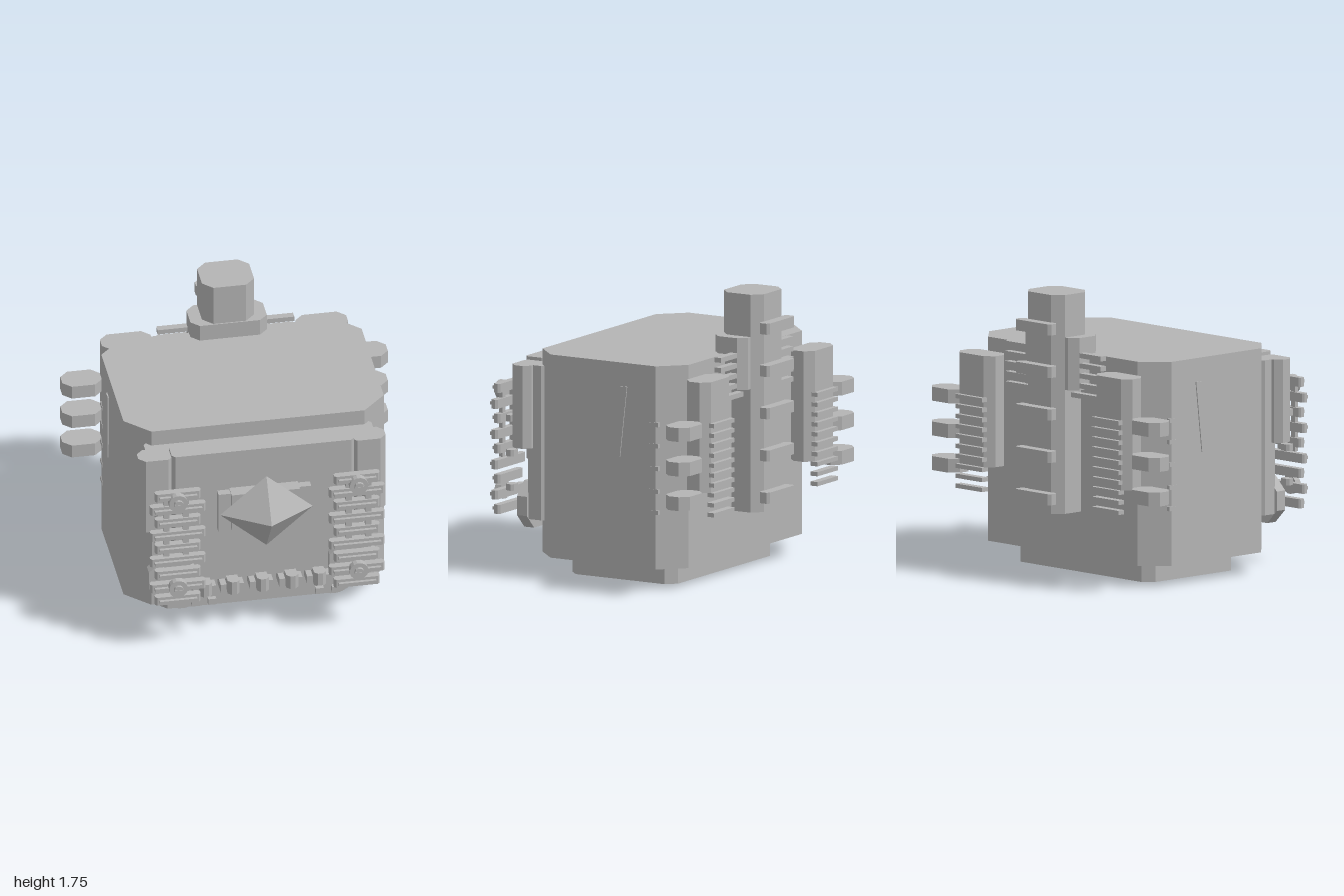
import * as THREE from 'three';

const grey = new THREE.MeshStandardMaterial({ color: 0xb4b4b4, flatShading: true });
grey.name = 'plain grey';

export function createModel() {
  const model = new THREE.Group();

  const add = (name, geometry) => {
    const mesh = new THREE.Mesh(geometry, grey);
    mesh.name = name;
    model.add(mesh);
    return mesh;
  };

  // Box given by its limits
  const box = (name, x0, x1, y0, y1, z0, z1) => {
    const mesh = add(name, new THREE.BoxGeometry(x1 - x0, y1 - y0, z1 - z0));
    mesh.position.set((x0 + x1) / 2, (y0 + y1) / 2, (z0 + z1) / 2);
    return mesh;
  };

  // Upright prism whose plan has four cut corners
  const prism = (name, x0, x1, y0, y1, z0, z1, c) => {
    const plan = [
      [x0 + c, z1], [x1 - c, z1], [x1, z1 - c], [x1, z0 + c],
      [x1 - c, z0], [x0 + c, z0], [x0, z0 + c], [x0, z1 - c],
    ].map(([x, z]) => new THREE.Vector2(x, -z));
    const g = new THREE.ExtrudeGeometry(new THREE.Shape(plan), { depth: y1 - y0, bevelEnabled: false });
    g.rotateX(-Math.PI / 2).translate(0, y0, 0);
    return add(name, g);
  };

  // Disc facing the front
  const disc = (name, x, y, z0, z1, r, sides) => {
    const g = new THREE.CylinderGeometry(r, r, z1 - z0, sides);
    g.rotateY(Math.PI / sides).rotateX(Math.PI / 2);
    const mesh = add(name, g);
    mesh.position.set(x, y, (z0 + z1) / 2);
    return mesh;
  };

  // Mirrors x limits for the left (+1) and right (-1) sides
  const span = (s, a, b) => (s > 0 ? [a, b] : [-b, -a]);

  // Main body and plinth
  prism('body', -0.8, 0.8, 0.13, 1.38, -0.62, 0.415, 0.145);
  prism('base', -0.59, 0.59, 0, 0.13, -0.47, 0.28, 0.06);

  // Layered front panels
  prism('lowerFrontPanel', -0.7, 0.7, 0.33, 1.28, 0.37, 0.51, 0.03);
  prism('upperFrontPanel', -0.56, 0.56, 0.67, 1.3, 0.46, 0.6, 0.02);

  // Faceted gem in its stepped mount
  box('gemBackPlate', -0.285, 0.285, 0.76, 1.03, 0.59, 0.65);
  box('gemMount', -0.21, 0.21, 0.79, 1.04, 0.59, 0.685);
  const gem = add('gem', new THREE.OctahedronGeometry(1));
  const gemPos = gem.geometry.attributes.position;
  for (let i = 0; i < gemPos.count; i++) {
    const z = gemPos.getZ(i);
    gemPos.setXYZ(i, gemPos.getX(i) * 0.285, gemPos.getY(i) * 0.248, z * (z > 0 ? 0.18 : 0.1));
  }
  gem.geometry.computeVertexNormals();
  gem.position.set(0, 0.917, 0.7);

  // Row of studs along the lower edge of the front
  for (const x of [-0.35, -0.18, 0, 0.18, 0.35]) {
    const stud = add('stud', new THREE.CylinderGeometry(0.04, 0.04, 0.09, 8).rotateY(Math.PI / 8));
    stud.position.set(x, 0.315, 0.57);
    box('studBracket', x - 0.035, x + 0.035, 0.27, 0.35, 0.42, 0.55);
    for (const s of [-1, 1]) {
      box('studFoot', x + s * 0.053 - 0.018, x + s * 0.053 + 0.018, 0.25, 0.305, 0.43, 0.54);
    }
  }

  for (const s of [-1, 1]) {
    // Shoulder panel and round feet
    prism('shoulderPanel', ...span(s, 0.54, 0.76), 0.77, 1.28, 0.455, 0.588, 0.04);
    disc('cornerDisc', s * 0.555, 0.405, 0.5, 0.57, 0.155, 8);
    disc('frontFoot', s * 0.465, 0.22, 0.33, 0.412, 0.14, 24);

    // Small pegs in front of the studs
    for (const x of [0.33, 0.43]) {
      box('peg', s * x - 0.025, s * x + 0.025, 0.27, 0.31, 0.66, 0.69);
    }

    // Front grille of slats, with posts and bolts
    for (let i = 0; i < 9; i++) {
      const y = 0.365 + i * 0.093;
      const out = i % 2 ? 0.72 : 0.69;
      const inn = i % 2 ? 0.38 : 0.41;
      prism('grilleSlat', ...span(s, inn, out), y - 0.028, y + 0.028, 0.7, 0.745, 0.012);
      box('grilleSlatFace', ...span(s, inn + 0.025, out - 0.025), y - 0.01, y + 0.01, 0.74, 0.765);
    }
    for (const x of [0.5, 0.62]) {
      box('grillePost', ...span(s, x - 0.018, x + 0.018), 0.68, 1.12, 0.71, 0.735);
    }
    for (const y of [0.465, 1.08]) {
      disc('boltWasher', s * 0.555, y, 0.74, 0.782, 0.058, 16);
      disc('boltHead', s * 0.555, y, 0.78, 0.8, 0.03, 12);
      box('boltSlot', s * 0.555 - 0.025, s * 0.555 + 0.025, y - 0.005, y + 0.005, 0.795, 0.803);
    }
    for (const y of [0.505, 0.715, 0.93]) {
      prism('grilleStandoff', ...span(s, 0.6, 0.675), y - 0.02, y + 0.02, 0.615, 0.67, 0.015);
    }

    // Rear tower with three side lobes and cooling fins
    prism('rearTower', ...span(s, 0.445, 0.757), 0.62, 1.3, -0.81, -0.64, 0.05);
    for (const y of [0.55, 0.762, 0.975]) {
      prism('sideLobe', ...span(s, 0.757, 1), y, y + 0.085, -0.81, -0.64, 0.05);
    }
    for (let i = 0; i < 10; i++) {
      const y = 0.485 + i * 0.061;
      box('towerFin', ...span(s, 0.48, 0.715), y - 0.013, y + 0.013, -0.838, -0.79);
    }

    // Fins beside the central column
    for (let i = 0; i < 5; i++) {
      const y = 1.13 + i * 0.062;
      box('columnFin', ...span(s, 0.15, 0.42), y - 0.015, y + 0.015, -0.705, -0.66);
    }

    // Thin wedge and pips on the flank
    const wedge = new THREE.Shape([[0.22, 1.235], [0.225, 0.8], [0.275, 1.235]].map((p) => new THREE.Vector2(...p)));
    const g = new THREE.ExtrudeGeometry(wedge, { depth: 0.03, bevelEnabled: false });
    g.rotateY(Math.PI / 2).translate(s > 0 ? 0.777 : -0.807, 0, 0);
    add('flankWedge', g);
    for (const y of [0.48, 0.61, 0.75, 0.89, 1.02]) {
      box('flankPip', ...span(s, 0.74, 0.803), y - 0.013, y + 0.013, -0.495, -0.43);
    }
  }

  // Rear column with collar and rungs
  prism('rearColumn', -0.16, 0.16, 0.405, 1.745, -0.815, -0.53, 0.06);
  prism('columnCollar', -0.235, 0.235, 1.165, 1.485, -0.755, -0.522, 0.05);
  for (let i = 0; i < 5; i++) {
    const y = 0.503 + i * 0.26;
    prism('columnRung', -0.155, 0.155, y - 0.034, y + 0.034, -0.88, -0.81, 0.015);
  }

  return model;
}
